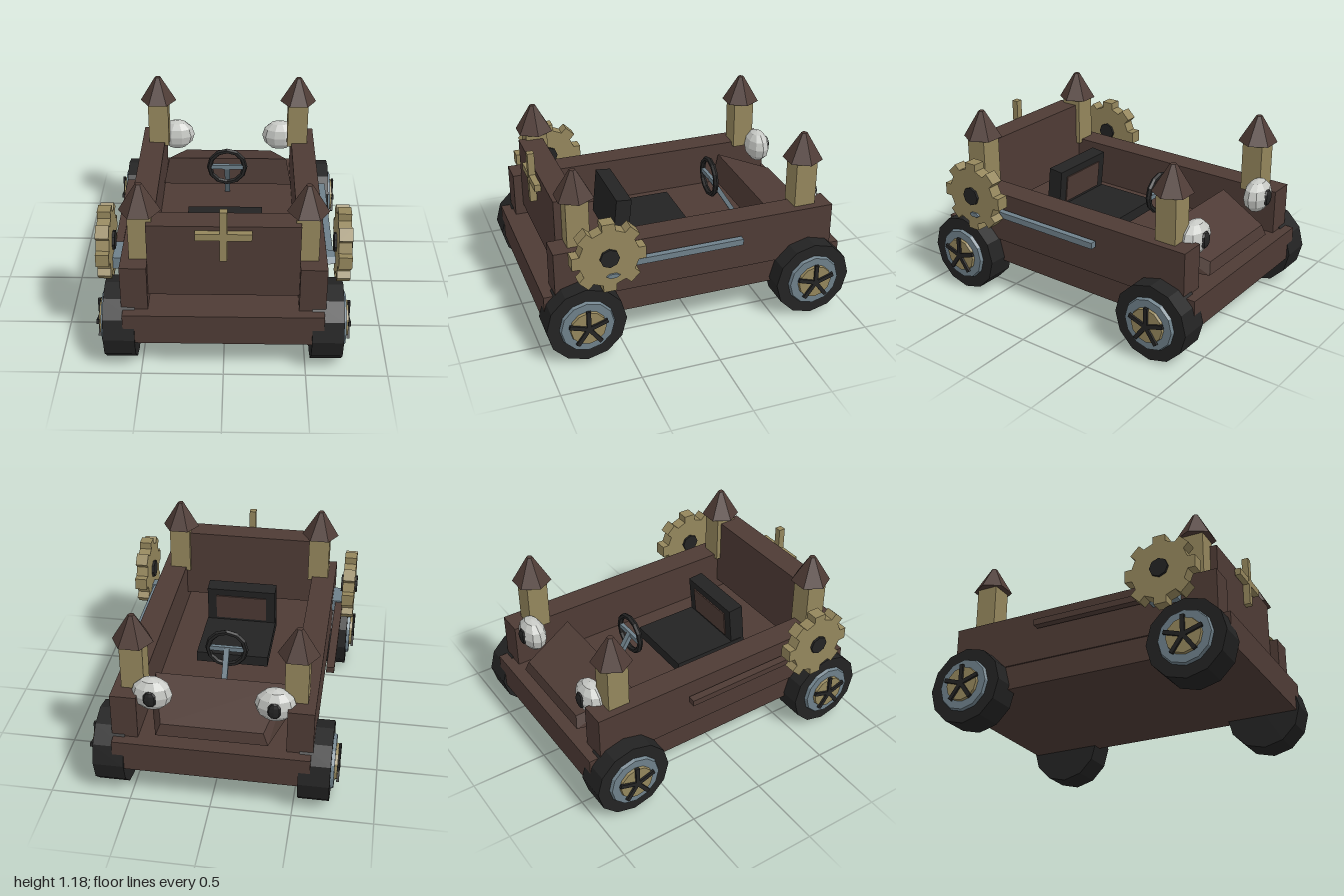
import * as THREE from 'three';
import { ConvexGeometry } from 'three/addons/geometries/ConvexGeometry.js';

const paint = (name, color) => {
  const m = new THREE.MeshStandardMaterial({ color, flatShading: true });
  m.name = name;
  return m;
};

export function createModel() {
  const wood = paint('dark wood', 0x4e3b35);
  const tan = paint('tan', 0x94865c);
  const black = paint('black', 0x232323);
  const steel = paint('blue steel', 0x6e808a);
  const white = paint('eye white', 0xc6c8c4);

  const model = new THREE.Group();
  model.name = 'castleCart';

  const add = (name, geo, mat, x = 0, y = 0, z = 0, parent = model) => {
    const m = new THREE.Mesh(geo, mat);
    m.name = name;
    m.position.set(x, y, z);
    parent.add(m);
    return m;
  };
  // Box given by its minimum and maximum corners
  const box = (name, mat, x0, x1, y0, y1, z0, z1, parent = model) =>
    add(name, new THREE.BoxGeometry(x1 - x0, y1 - y0, z1 - z0), mat,
      (x0 + x1) / 2, (y0 + y1) / 2, (z0 + z1) / 2, parent);
  // Cylinder lying along x
  const disc = (name, mat, r0, r1, x0, x1, y, z, n, parent = model) => {
    const g = new THREE.CylinderGeometry(r1, r0, x1 - x0, n).rotateZ(-Math.PI / 2);
    return add(name, g, mat, (x0 + x1) / 2, y, z, parent);
  };

  // Chassis, side walls and front board
  box('chassis', wood, -0.6, 0.6, 0.22, 0.42, -0.98, 0.98);
  for (const s of [-1, 1]) {
    add('sideWall', new THREE.BoxGeometry(0.16, 0.335, 1.82), wood, s * 0.53, 0.5425, 0);
  }
  box('frontBoard', wood, -0.45, 0.45, 0.49, 0.97, 0.7, 0.855);

  // Cross on the front board
  box('crossUpright', tan, -0.022, 0.022, 0.76, 1.09, 0.857, 0.9);
  box('crossBar', tan, -0.165, 0.165, 0.9, 0.945, 0.859, 0.898);

  // Tapered, sloping hood
  const hood = [];
  for (const s of [-1, 1]) {
    hood.push(
      new THREE.Vector3(s * 0.45, 0.455, -0.53), new THREE.Vector3(s * 0.41, 0.65, -0.55),
      new THREE.Vector3(s * 0.31, 0.53, -0.9), new THREE.Vector3(s * 0.34, 0.455, -0.917));
  }
  add('hood', new ConvexGeometry(hood), wood);

  // Corner towers with six-sided roofs
  for (const x of [-0.49, 0.49]) {
    for (const z of [-0.74, 0.74]) {
      add('tower', new THREE.BoxGeometry(0.14, 0.33, 0.14), tan, x, 0.85, z);
      const roof = new THREE.CylinderGeometry(0.02, 0.125, 0.175, 6).rotateY(Math.PI / 6);
      add('towerRoof', roof, wood, x, 1.0975, z);
    }
  }

  // Eyes
  for (const s of [-1, 1]) {
    const eye = add('eye', new THREE.SphereGeometry(1, 10, 6), white, s * 0.37, 0.7, -0.825);
    eye.scale.set(0.125, 0.11, 0.08);
    const pupil = add('pupil', new THREE.SphereGeometry(1, 8, 6), black, s * 0.37, 0.7, -0.895);
    pupil.scale.set(0.045, 0.055, 0.02);
  }

  // Wheels, built facing +x and turned round for the other side
  const makeWheel = () => {
    const w = new THREE.Group();
    w.name = 'wheel';
    disc('tyre', black, 0.25, 0.25, -0.095, 0.095, 0, 0, 12, w);
    disc('rim', steel, 0.175, 0.165, 0.09, 0.115, 0, 0, 12, w);
    disc('hub', tan, 0.115, 0.11, 0.11, 0.132, 0, 0, 12, w);
    for (let i = 0; i < 5; i++) {
      const g = new THREE.BoxGeometry(0.016, 0.125, 0.026);
      g.translate(0.137, 0.0625, 0).rotateX((i * Math.PI * 2) / 5);
      add('spoke', g, black, 0, 0, 0, w);
    }
    return w;
  };

  // Toothed gear outline
  const outline = [];
  for (let i = 0; i < 8; i++) {
    const a = (i * Math.PI) / 4;
    for (const [da, r] of [[-0.22, 0.185], [-0.175, 0.23], [0.175, 0.23], [0.22, 0.185]]) {
      outline.push(new THREE.Vector2(Math.cos(a + da) * r, Math.sin(a + da) * r));
    }
  }
  const gearGeo = new THREE.ExtrudeGeometry(new THREE.Shape(outline), { depth: 0.08, bevelEnabled: false });
  gearGeo.translate(0, 0, -0.04).rotateY(Math.PI / 2);

  for (const s of [-1, 1]) {
    for (const z of [-0.75, 0.75]) {
      const w = makeWheel();
      w.position.set(s * 0.625, 0.25, z);
      if (s < 0) w.rotation.y = Math.PI;
      model.add(w);
    }
    add('gear', gearGeo, tan, s * 0.715, 0.71, 0.61);
    disc('gearHub', black, 0.06, 0.06, s * 0.715 - 0.055, s * 0.715 + 0.055, 0.715, 0.61, 8);
  }

  // Gear mounts and side rods
  box('gearMount', steel, -0.68, -0.6, 0.55, 0.63, 0.5, 0.68);
  box('woodRod', wood, -0.68, -0.63, 0.58, 0.62, -0.29, 0.52);
  box('steelRod', steel, 0.625, 0.665, 0.57, 0.61, -0.28, 0.6);
  const bolt = disc('gearBolt', steel, 0.09, 0.04, 0.6, 0.765, 0.59, 0.59, 6);
  bolt.scale.y = 0.4;

  // Seat with a panelled backrest
  box('seatCushion', black, -0.235, 0.235, 0.45, 0.52, -0.1, 0.4);
  const back = new THREE.Group();
  back.name = 'backrest';
  back.position.set(0, 0.635, 0.365);
  back.rotation.x = -0.1;
  model.add(back);
  box('backrestFrame', black, -0.23, 0.23, -0.16, 0.14, -0.05, 0.05, back);
  box('backrestPanel', wood, -0.17, 0.17, -0.09, 0.09, -0.058, -0.049, back);

  // Steering wheel, crossbar and column
  add('steeringWheel', new THREE.TorusGeometry(0.12, 0.018, 6, 12), black, 0, 0.715, -0.315);
  box('steeringBar', steel, -0.11, 0.11, 0.7, 0.73, -0.327, -0.303);
  const top = new THREE.Vector3(0, 0.715, -0.315);
  const foot = new THREE.Vector3(0, 0.415, -0.5);
  const column = add('steeringColumn', new THREE.BoxGeometry(0.035, 0.03, top.distanceTo(foot)), steel);
  column.position.copy(top).add(foot).multiplyScalar(0.5);
  column.lookAt(top);

  return model;
}
